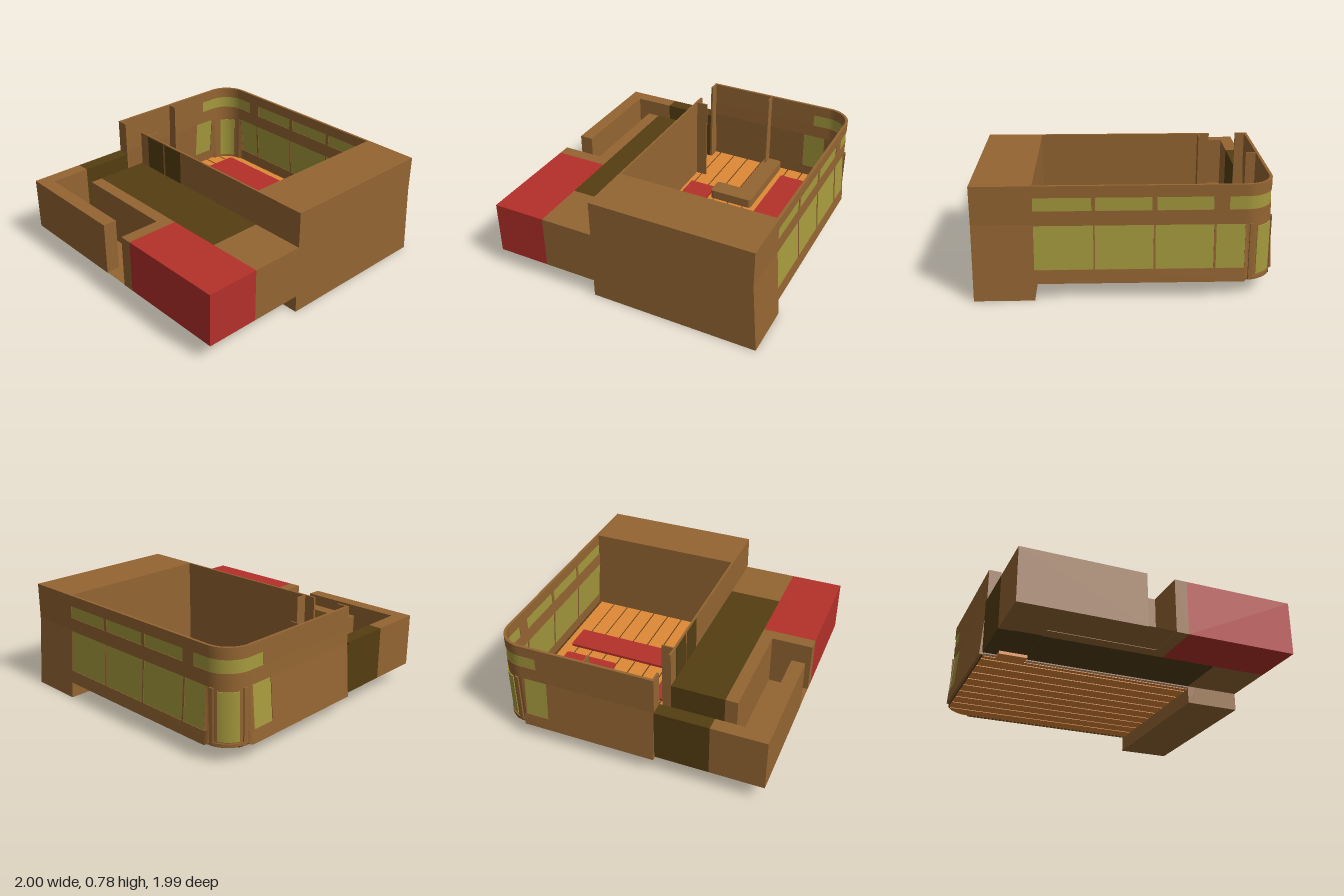
import * as THREE from 'three';

const BROWN = 0x946532, RED = 0xb4302a, OLIVE = 0x543e12, GLASS = 0xa59a3d, ORANGE = 0xdf8936, DARK = 0x5a3a1a;

function add(group, name, geometry, color, side = THREE.FrontSide) {
  const mesh = new THREE.Mesh(geometry, new THREE.MeshStandardMaterial({ color, side }));
  mesh.name = name;
  group.add(mesh);
}

// Box given by its limits on each axis
function box(group, name, [x0, x1], [y0, y1], [z0, z1], color) {
  const g = new THREE.BoxGeometry(x1 - x0, y1 - y0, z1 - z0);
  g.translate((x0 + x1) / 2, (y0 + y1) / 2, (z0 + z1) / 2);
  add(group, name, g, color);
}

// Flat plate cut to a plan outline of [x, z] points, with optional rounded corners
function slab(group, name, pts, y0, y1, color, r = 0) {
  const v = pts.map(([x, z]) => new THREE.Vector2(x, -z));
  const shape = new THREE.Shape();
  v.forEach((p, i) => {
    const before = v[(i + v.length - 1) % v.length], after = v[(i + 1) % v.length];
    const a = p.clone().add(before.clone().sub(p).setLength(r));
    const b = p.clone().add(after.clone().sub(p).setLength(r));
    if (i === 0) shape.moveTo(a.x, a.y); else shape.lineTo(a.x, a.y);
    if (r) shape.quadraticCurveTo(p.x, p.y, b.x, b.y);
  });
  const g = new THREE.ExtrudeGeometry(shape, { depth: y1 - y0, bevelEnabled: false, curveSegments: 5 });
  g.rotateX(-Math.PI / 2);
  g.translate(0, y0, 0);
  add(group, name, g, color);
}

// Plan line of the outer wall: along the side, round the corner, along the back
const R = 0.19, CX = 0.77, CZ = -0.77, SIDE = 0.6 - CZ, ARC = R * Math.PI / 2;
const uZ = z => 0.6 - z;
const uA = deg => SIDE + ARC * deg / 90;
const uX = x => SIDE + ARC + CX - x;

function wallPoint(u, y, offset) {
  const lean = Math.max(0, 0.52 - y) * 0.077;   // straight walls lean outward below, the corner stays upright
  const d = R + offset;
  if (u <= SIDE) return [CX + d + lean, y, 0.6 - u];
  if (u >= SIDE + ARC) return [CX - (u - SIDE - ARC), y, CZ - d - lean];
  const a = (u - SIDE) / R;
  return [CX + d * Math.cos(a), y, CZ - d * Math.sin(a)];
}

// Thick strip of wall between two stations and two heights
function strip(group, name, u0, u1, y0, y1, color, outer = 0, inner = -0.02) {
  const us = [u0, u1];
  for (let i = 0; i <= 16; i++) {
    const u = uA(90 * i / 16);
    if (u > u0 + 1e-4 && u < u1 - 1e-4) us.push(u);
  }
  us.sort((a, b) => a - b);
  const pos = [], index = [];
  const loop = [[outer, y0], [outer, y1], [inner, y1], [inner, y0]];
  loop.forEach((p, k) => {
    const q = loop[(k + 1) % 4], base = pos.length / 3;
    us.forEach((u, i) => {
      pos.push(...wallPoint(u, p[1], p[0]), ...wallPoint(u, q[1], q[0]));
      const a = base + 2 * i;
      if (i) index.push(a - 2, a, a - 1, a, a + 1, a - 1);
    });
  });
  [u0, u1].forEach((u, end) => {
    const b = pos.length / 3;
    loop.forEach(([o, y]) => pos.push(...wallPoint(u, y, o)));
    index.push(...(end ? [b, b + 2, b + 1, b, b + 3, b + 2] : [b, b + 1, b + 2, b, b + 2, b + 3]));
  });
  const g = new THREE.BufferGeometry();
  g.setAttribute('position', new THREE.Float32BufferAttribute(pos, 3));
  g.setIndex(index);
  g.computeVertexNormals();
  add(group, name, g, color, THREE.DoubleSide);
}

// Row of panes in a band, with wall filling the spaces between them
function windowRow(group, name, y0, y1, panes, end) {
  let u = 0;
  for (const [a, b] of panes) {
    if (a > u) strip(group, name + 'Pier', u, a, y0, y1, BROWN);
    strip(group, name + 'Pane', a, b, y0, y1, GLASS, -0.004, -0.016);
    u = b;
  }
  strip(group, name + 'Pier', u, end, y0, y1, BROWN);
}

function outerWall() {
  const g = new THREE.Group();
  g.name = 'outerWall';
  const end = uX(-0.22);
  for (const [y0, y1] of [[0.115, 0.21], [0.51, 0.61], [0.70, 0.78]])
    strip(g, 'wallBand', 0, end, y0, y1, BROWN);
  windowRow(g, 'lowerWindow', 0.21, 0.51, [
    [0, uZ(0.215)], [uZ(0.205), uZ(-0.175)], [uZ(-0.187), uZ(-0.565)], [uZ(-0.58), uZ(-0.768)],
    [uX(0.75), uX(0.58)],
  ], end);
  windowRow(g, 'upperWindow', 0.61, 0.70, [
    [0, uZ(0.225)], [uZ(0.2), uZ(-0.165)], [uZ(-0.195), uZ(-0.56)], [uZ(-0.66), uX(0.65)],
  ], end);
  // Corner pane with raised ribs on both sides
  strip(g, 'cornerPane', uA(24), uA(66), 0.15, 0.49, GLASS, 0.006, -0.024);
  for (const a of [8, 74]) strip(g, 'cornerRib', uA(a), uA(a + 8), 0.13, 0.51, BROWN, 0.012, 0);
  strip(g, 'cornerSill', uA(8), uA(82), 0.115, 0.14, BROWN, 0.01, 0);
  return g;
}

function floor() {
  const g = new THREE.Group();
  g.name = 'floor';
  const outline = (x0, x1, r) => {
    const pts = [[x0, 0.6], [x1, 0.6]];
    for (let i = 0; i <= 10; i++) {
      const x = x1 + (x0 - x1) * i / 10;
      pts.push([x, CZ - Math.sqrt(Math.max(0, r * r - Math.max(0, x - CX) ** 2))]);
    }
    return pts;
  };
  slab(g, 'subfloor', outline(-0.21, 0.975, 0.205), 0.116, 0.122, DARK);
  const seams = [-0.21, -0.16, -0.036, 0.088, 0.212, 0.336, 0.46, 0.584, 0.708, 0.832, 0.955];
  for (let i = 0; i + 1 < seams.length; i++)
    slab(g, 'plank', outline(seams[i] + 0.006, seams[i + 1] - 0.006, R), 0.11, 0.13, ORANGE);
  box(g, 'threshold', [-0.285, -0.2], [0.11, 0.132], [-0.87, -0.67], ORANGE);
  return g;
}

function sideBlocks() {
  const g = new THREE.Group();
  g.name = 'sideBlocks';
  const H = [0.13, 0.52];
  box(g, 'redBlock', [-1, -0.61], H, [0.2, 1], RED);
  box(g, 'frontBlock', [-0.61, -0.22], H, [0.6, 1], BROWN);
  box(g, 'darkBlock', [-0.61, -0.22], H, [-0.67, 0.6], OLIVE);
  box(g, 'darkPassageWall', [-0.61, -0.22], H, [-0.97, -0.87], OLIVE);
  // Passage walls round the outside corner and the block inside it
  slab(g, 'passageWall', [[-1, -0.09], [-0.9, -0.09], [-0.9, -0.87], [-0.61, -0.87], [-0.61, -0.97], [-1, -0.97]], ...H, BROWN);
  slab(g, 'innerBlock', [[-1, 0.2], [-0.61, 0.2], [-0.61, -0.67], [-0.7, -0.67], [-0.7, 0.11], [-1, 0.11]], ...H, BROWN);
  // Thin passage floor, seen from above and below
  for (const [x0, x1, z0, z1, c] of [[-1, -0.7, -0.09, 0.11, BROWN], [-0.9, -0.7, -0.87, -0.09, BROWN],
    [-0.7, -0.61, -0.87, -0.67, BROWN], [-0.61, -0.265, -0.87, -0.67, OLIVE]]) {
    const p = new THREE.PlaneGeometry(x1 - x0, z1 - z0).rotateX(-Math.PI / 2);
    p.translate((x0 + x1) / 2, 0.134, (z0 + z1) / 2);
    add(g, 'passageFloor', p, c, THREE.DoubleSide);
  }
  return g;
}

export function createModel() {
  const model = new THREE.Group();
  model.name = 'roomModel';

  // Solid front section with a sloping flank
  const profile = new THREE.Shape([[-0.22, 0], [1, 0], [0.96, 0.52], [0.96, 0.78], [-0.22, 0.78]]
    .map(p => new THREE.Vector2(...p)));
  const front = new THREE.ExtrudeGeometry(profile, { depth: 0.4, bevelEnabled: false });
  front.translate(0, 0, 0.6);
  add(model, 'frontSection', front, BROWN);

  model.add(sideBlocks(), floor(), outerWall());

  // Inner side wall with a doorway, and two short fins
  box(model, 'innerWall', [-0.22, -0.205], [0.12, 0.78], [-0.67, 0.6], BROWN);
  box(model, 'doorJamb', [-0.22, -0.205], [0.12, 0.78], [-0.96, -0.87], BROWN);
  box(model, 'doorFin', [-0.205, -0.12], [0.13, 0.78], [-0.59, -0.58], BROWN);
  box(model, 'backFin', [0.28, 0.29], [0.13, 0.78], [-0.95, -0.87], BROWN);

  // Dark panels on the outer face of the inner wall
  for (const z of [-0.58, -0.38])
    box(model, 'wallPanel', [-0.223, -0.22], [0.52, 0.775], [z, z + 0.18], OLIVE);

  // Low furnishings on the floor
  slab(model, 'cornerCarpet', [[-0.17, 0.15], [0.89, 0.15], [0.89, -0.06], [0.04, -0.06], [0.04, -0.42], [-0.17, -0.42]], 0.13, 0.15, RED, 0.015);
  slab(model, 'squareCarpet', [[0.45, -0.16], [0.87, -0.16], [0.87, -0.82], [0.45, -0.82]], 0.13, 0.15, RED, 0.015);
  slab(model, 'lowBench', [[0.06, -0.29], [0.4, -0.29], [0.4, -0.95], [0.26, -0.95], [0.26, -0.43], [0.06, -0.43]], 0.13, 0.2, BROWN, 0.025);
  return model;
}
